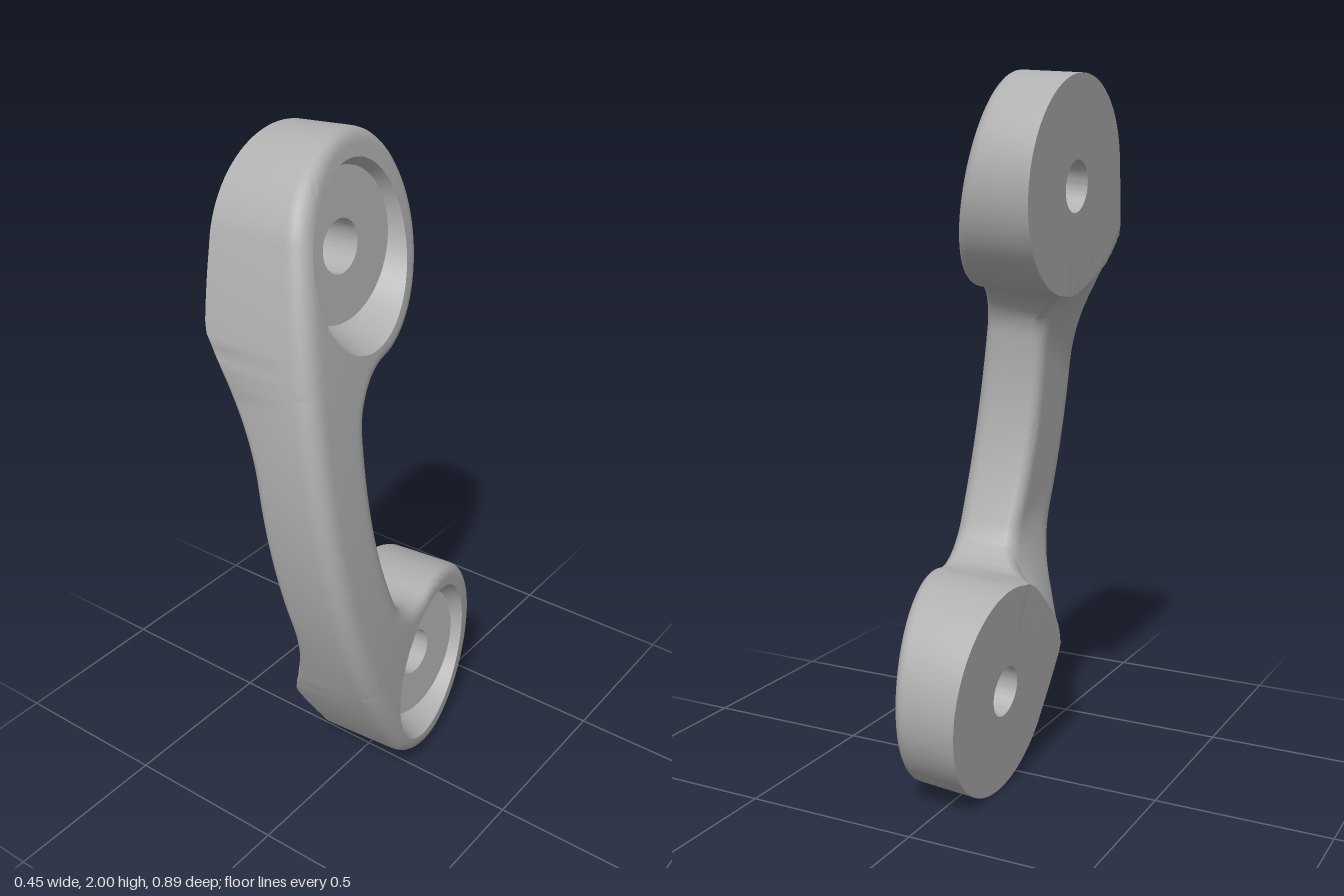
import * as THREE from 'three';
import { toCreasedNormals } from 'three/addons/utils/BufferGeometryUtils.js';

// Handle layout: s runs along the handle, t across it, u is height above the mounting plane
const C = 0.704, R = 0.3;                     // boss centre and radius
const ARC_R = 1.87, ARC_T = -1.405;           // outer edge arc
const FIL_R = 0.16, FIL_T = 0.035, FIL_S = C - Math.sqrt((R + FIL_R) ** 2 - FIL_T ** 2);
const HOLE = 0.072, FLOOR = 0.175, GRIP = 0.13;
const ARC_END = Math.atan2(C, -ARC_T), CUT_ARC = 0.27, CUT_FIL = 1.01, FIL_END = 1.31;
const FIL_START = Math.atan2(-FIL_T, C - FIL_S);

const { lerp, clamp } = THREE.MathUtils;
const sample = (n, a, b, fn) => Array.from({ length: n + 1 }, (_, i) => fn(lerp(a, b, i / n)));
const outerPt = a => [ARC_R * Math.sin(a), ARC_T + ARC_R * Math.cos(a)];
const filletPt = a => [FIL_S + FIL_R * Math.cos(a), FIL_T + FIL_R * Math.sin(a)];
const circlePt = a => [C + R * Math.sin(a), R * Math.cos(a)];
const innerS = filletPt(FIL_END)[0];
const innerPt = s => [s, filletPt(FIL_END)[1] + 0.46 * (innerS * innerS - s * s)];
const mix = (p, q, f) => [lerp(p[0], q[0], f), lerp(p[1], q[1], f)];
const ease = sample(20, 0, Math.PI, a => (1 - Math.cos(a)) / 2);

// Half of the side outline (mirrored in s)
const circleStart = ARC_END, circleEnd = 2 * Math.PI + Math.atan2(FIL_S - C, FIL_T);
const outline = [
  ...sample(10, 0, innerS, innerPt),
  ...sample(24, FIL_END, FIL_START, filletPt),
  ...sample(64, circleEnd, circleStart, circlePt),
  ...sample(30, ARC_END, 0, outerPt),
];

function edgeDistance(s, t) {
  s = Math.abs(s);
  let best = 1;
  for (let i = 0; i + 1 < outline.length; i++) {
    const [a, b] = outline[i], ds = outline[i + 1][0] - a, dt = outline[i + 1][1] - b;
    const f = clamp(((s - a) * ds + (t - b) * dt) / (ds * ds + dt * dt || 1), 0, 1);
    best = Math.min(best, Math.hypot(s - a - f * ds, t - b - f * dt));
  }
  return best < 0.0006 ? 0 : best;
}

// Drop of a rounded edge of radius r at distance d from the edge
const round = (d, r) => (d >= r ? 0 : r - Math.sqrt(r * r - (r - d) ** 2));

// Domed outer face, with a softer edge towards the grip's outer side
const top = ([s, t]) => {
  const soft = 0.03 + 0.025 * clamp(t / 0.3, 0, 1);
  return [0.293 + 0.2 * t - 0.1 * t * t - 0.07 * s * s - round(edgeDistance(s, t), soft), s, t];
};

// Raised underside, sweeping down to the bosses more slowly on the outer side
const under = ([s, t]) => {
  const d = Math.max(0, Math.hypot(Math.abs(s) - C, t) - R);
  const sweep = 0.17 + 0.18 * clamp((t - 0.18) / 0.2, 0, 1);
  const h = Math.max(0, GRIP - round(d, sweep));
  return [h + round(edgeDistance(s, t), 0.035) * h / GRIP, s, t];
};

// Skin rows of points into triangles, dropping empty ones
function skin(out, rows, flip, skip = () => false) {
  const [a, b, c, n, m] = Array.from({ length: 5 }, () => new THREE.Vector3());
  const tri = (p, q, r) => {
    a.fromArray(p); b.fromArray(q); c.fromArray(r);
    n.subVectors(b, a).cross(m.subVectors(c, a));
    if (n.length() < 1e-9) return;
    out.push(...p, ...(flip ? r : q), ...(flip ? q : r));
  };
  for (let i = 0; i + 1 < rows.length; i++) {
    for (let j = 0; j + 1 < rows[i].length; j++) {
      if (skip(i, j)) continue;
      const p = rows[i], q = rows[i + 1];
      tri(p[j], p[j + 1], q[j]);
      tri(q[j], p[j + 1], q[j + 1]);
    }
  }
}

// Boss: columns around the hole, reaching out to the edge or to the grip
function addBoss(out, side) {
  const P = outerPt(CUT_ARC), Q = filletPt(CUT_FIL);
  const fillet = sample(14, FIL_START, CUT_FIL, filletPt);
  const cut = ease.map(w => mix(Q, P, w)).slice(1);
  const border = [
    ...fillet, ...cut,
    ...sample(12, CUT_ARC, ARC_END, outerPt).slice(1),
    ...sample(64, circleStart, circleEnd, circlePt).slice(1),
  ];
  border[border.length - 1] = border[0];
  const cutFrom = fillet.length - 1, cutTo = cutFrom + cut.length;
  const rows = border.map(edge => {
    const ds = edge[0] - C, dt = edge[1], len = Math.hypot(ds, dt);
    const at = r => [C + ds / len * r, dt / len * r];
    const ring = (r, u) => [u, ...at(r)];
    // The recess flares, so its rim is wider where the face is higher
    const rim = at(0.215 + 0.35 * (top(at(0.24))[0] - FLOOR));
    return [
      ring(HOLE, 0), ring(R, 0),
      ...ease.map(f => under(mix(at(R), edge, f))),
      ...sample(7, 0, Math.PI / 2, a => top(mix(edge, rim, 1 - Math.cos(a)))),
      ring(0.205, FLOOR), ring(HOLE, FLOOR), ring(HOLE, 0),
    ].map(([u, s, t]) => [u, s * side, t]);
  });
  const wall = 1 + ease.length;
  skin(out, rows, side < 0, (i, j) => j === wall && i >= cutFrom && i < cutTo);
}

// Grip: closed cross-sections between the two bosses
function addGrip(out) {
  const inner = [
    ...sample(5, CUT_FIL, FIL_END, filletPt),
    ...sample(15, innerS, 0, innerPt).slice(1),
  ];
  const outer = sample(inner.length - 1, CUT_ARC, 0, outerPt);
  const half = inner.map((p, i) => [outer[i], p]);
  const mirrored = half.slice(0, -1).reverse().map(pair => pair.map(([s, t]) => [-s, t]));
  const rows = [...half, ...mirrored].map(([o, n]) => {
    const line = ease.map(w => mix(o, n, w));
    const loop = [...line.map(top), ...line.slice().reverse().map(under)];
    return [...loop, loop[0]];
  });
  skin(out, rows, true);
}

export function createModel() {
  const grey = new THREE.MeshStandardMaterial({ color: 0xb0b0b0 });
  grey.name = 'plain grey';

  // Bosses and grip share one continuous skin
  const points = [];
  addBoss(points, 1);
  addBoss(points, -1);
  addGrip(points);
  const geometry = new THREE.BufferGeometry();
  geometry.setAttribute('position', new THREE.Float32BufferAttribute(points, 3));
  const handle = new THREE.Mesh(toCreasedNormals(geometry, 0.7), grey);
  handle.name = 'pullHandle';

  // Lean of the mounting plane and of the handle's long axis
  handle.rotation.set(0.157, 0, 0.075, 'ZYX');
  handle.position.set(-0.155, 0.995, -0.03);

  const model = new THREE.Group();
  model.name = 'handle';
  model.add(handle);
  return model;
}
